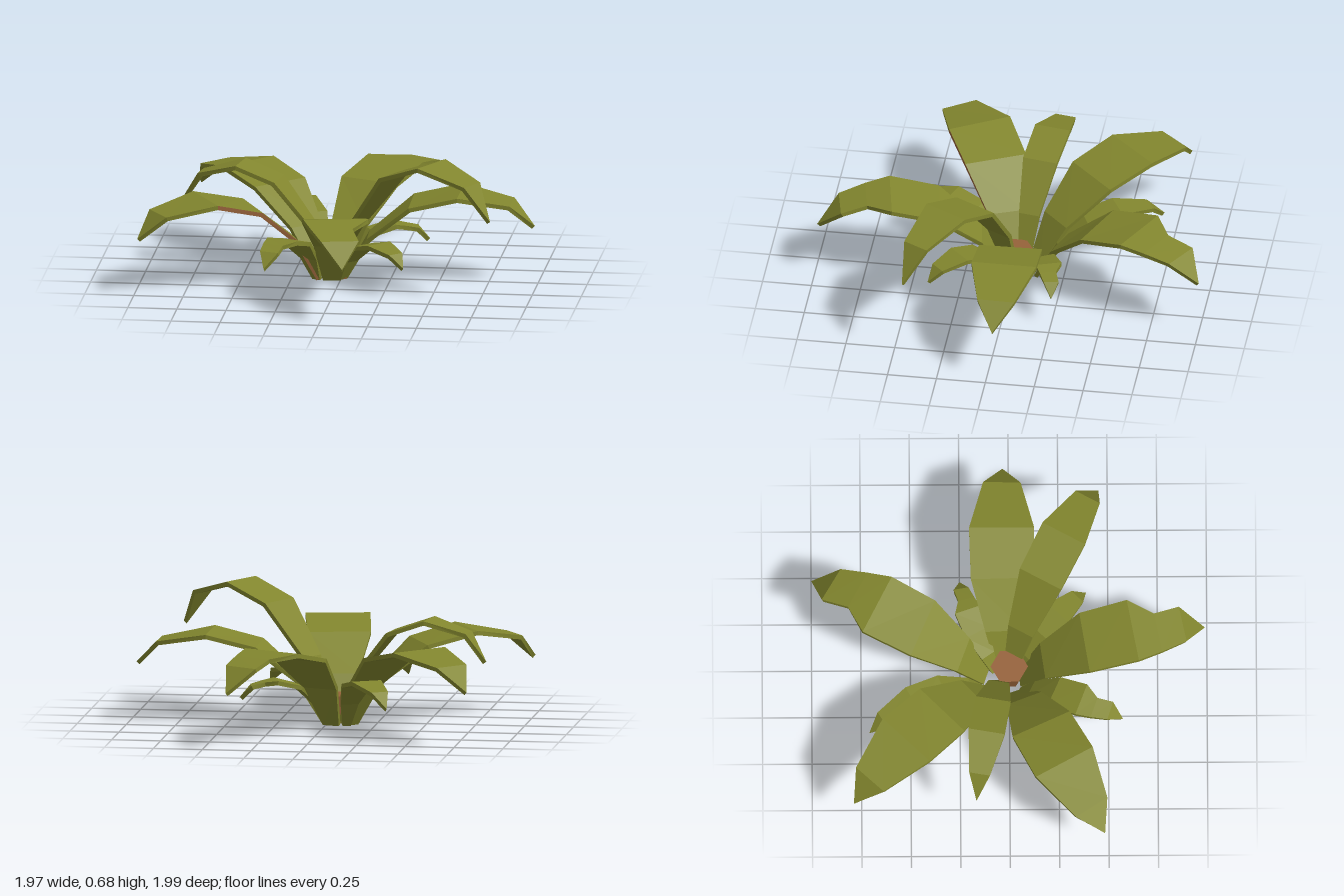
import * as THREE from 'three';

const THICKNESS = 0.022;
const UP = new THREE.Vector3(0, 1, 0);

// Shared leaf profile from root outwards: position along the leaf, full width, height
const PROFILE = [
  { t: 0, width: 0.09, y: 0.01 },
  { t: 0.125, width: 0.19, y: 0.22 },
  { t: 0.35, width: 0.32, y: 0.4 },
  { t: 0.61, width: 0.33, y: 0.46 },
  { t: 0.88, width: 0.19, y: 0.41 },
];
const NOTCH = { t: 0.74, width: 0.27, y: 0.44, cut: 0.55 };
const TIP_HEIGHT = 0.29;

// root and tip are [x, z]; bend pushes the middle of the leaf sideways
const LEAVES = [
  { name: 'backLeaf', root: [-0.035, -0.115], tip: [0.38, -1], bend: 0.06, notched: true },
  { name: 'leftLeaf', root: [0.01, -0.02], tip: [0.98, -0.03], bend: 0.02 },
  { name: 'tallFrontLeftLeaf', root: [-0.01, 0], tip: [0.81, 0.455], width: 0.74, height: 1.47 },
  { name: 'frontLeaf', root: [-0.045, 0.05], tip: [0.12, 0.99], bend: -0.02, notched: true },
  { name: 'frontRightLeaf', root: [-0.115, 0.03], tip: [-0.985, 0.48], bend: -0.07, brownRows: 3 },
  { name: 'backRightLeaf', root: [-0.115, -0.09], tip: [-0.82, -0.79], bend: -0.02 },
  { name: 'rightLeaf', root: [-0.06, -0.035], tip: [-0.83, -0.17], width: 0.56, height: 1.21 },
  { name: 'smallBackRightLeaf', root: [-0.105, -0.115], tip: [-0.4, -0.71], bend: -0.05, width: 0.48, height: 0.63 },
  { name: 'smallBackLeftLeaf', root: [-0.01, -0.07], tip: [0.42, -0.25], bend: 0.07, width: 0.4, height: 0.53, notched: true },
  { name: 'smallFrontLeftLeaf', root: [0, 0.025], tip: [0.36, 0.39], width: 0.44, height: 0.53 },
  { name: 'smallFrontRightLeaf', root: [-0.115, 0.045], tip: [-0.33, 0.575], bend: -0.03, width: 0.52, height: 0.61, notched: true },
];

// A thin arching blade swept along a curved spine; the first brownRows segments of one edge are brown
function leafGeometry({ root, tip, bend = 0, width = 1, height = 1, notched = false, brownRows = 0 }) {
  const start = new THREE.Vector3(root[0], 0, root[1]);
  const end = new THREE.Vector3(tip[0], 0, tip[1]);
  const side = UP.clone().cross(end.clone().sub(start)).normalize();
  const control = start.clone().lerp(end, 0.5).addScaledVector(side, bend);
  const spine = new THREE.QuadraticBezierCurve3(start, control, end);

  // Upper face: edges a and b on either side of the spine
  const rows = notched ? [...PROFILE.slice(0, 4), NOTCH, PROFILE[4]] : PROFILE;
  const mid = [], a = [], b = [], across = [];
  for (const row of rows) {
    const m = spine.getPoint(row.t).setY(row.y * height);
    const w = UP.clone().cross(spine.getTangent(row.t)).normalize();
    const half = row.width * width / 2;
    mid.push(m);
    across.push(w);
    a.push(m.clone().addScaledVector(w, -half));
    b.push(m.clone().addScaledVector(w, half * (row.cut ?? 1)));
  }
  const point = end.clone().setY(TIP_HEIGHT * height);
  mid.push(point);

  // Underside: each row pushed back along its own normal
  const n = rows.length, last = n - 1;
  const under = (p, i) => {
    const along = mid[Math.min(i + 1, n)].clone().sub(mid[Math.max(i - 1, 0)]);
    const normal = along.cross(across[Math.min(i, last)]).normalize();
    const q = p.clone().addScaledVector(normal, -THICKNESS);
    return q.setY(Math.max(q.y, 0));
  };
  const c = a.map(under), d = b.map(under), pointUnder = under(point, n);

  const green = [], brown = [];
  const tri = (list, ...pts) => pts.forEach(p => list.push(p.x, p.y, p.z));
  const quad = (list, p, q, r, s) => { tri(list, p, q, r); tri(list, p, r, s); };
  for (let i = 0; i < last; i++) {
    const j = i + 1;
    quad(green, a[i], a[j], b[j], b[i]);
    quad(green, c[i], d[i], d[j], c[j]);
    quad(green, a[i], c[i], c[j], a[j]);
    quad(i < brownRows ? brown : green, b[i], b[j], d[j], d[i]);
  }
  // Pointed end and root cap
  tri(green, a[last], point, b[last]);
  tri(green, c[last], d[last], pointUnder);
  quad(green, a[last], c[last], pointUnder, point);
  quad(green, b[last], point, pointUnder, d[last]);
  quad(green, a[0], b[0], d[0], c[0]);

  const g = new THREE.BufferGeometry();
  g.setAttribute('position', new THREE.Float32BufferAttribute([...green, ...brown], 3));
  g.addGroup(0, green.length / 3, 0);
  if (brown.length) g.addGroup(green.length / 3, brown.length / 3, 1);
  g.computeVertexNormals();
  return g;
}

export function createModel() {
  const leafGreen = new THREE.MeshStandardMaterial({ color: 0x82862e, flatShading: true });
  leafGreen.name = 'leaf green';
  const stemBrown = new THREE.MeshStandardMaterial({ color: 0x96623a, flatShading: true });
  stemBrown.name = 'stem brown';

  const plant = new THREE.Group();
  plant.name = 'plant';

  for (const spec of LEAVES) {
    const leaf = new THREE.Mesh(leafGeometry(spec), [leafGreen, stemBrown]);
    leaf.name = spec.name;
    plant.add(leaf);
  }

  // Short flaring core between the leaf roots
  const core = new THREE.Mesh(new THREE.CylinderGeometry(0.095, 0.065, 0.14, 6), stemBrown);
  core.name = 'core';
  core.position.set(-0.03, 0.07, 0);
  plant.add(core);

  return plant;
}
